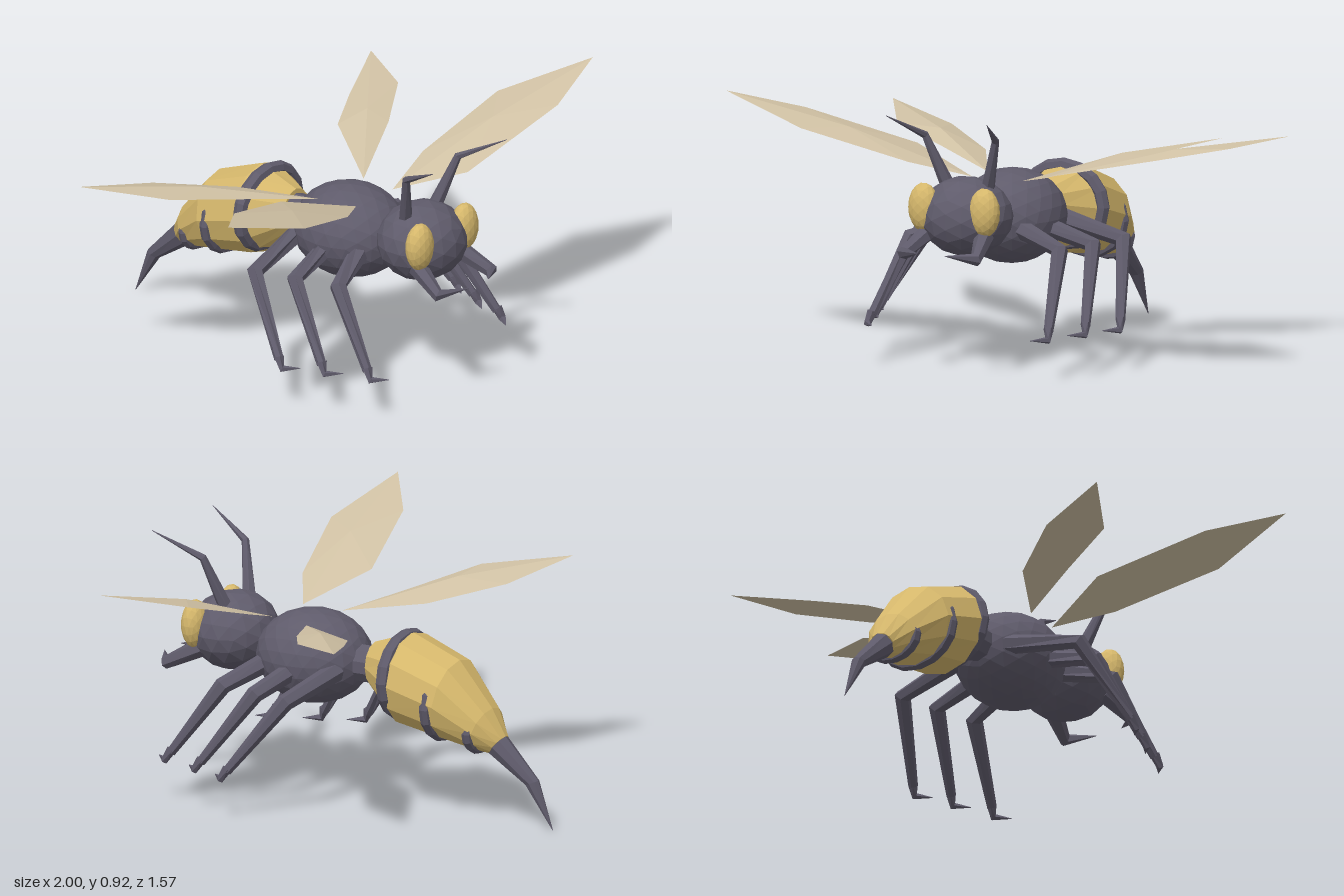
import * as THREE from 'three';

const V = (x, y, z) => new THREE.Vector3(x, y, z);

export function createModel() {
  const model = new THREE.Group();
  model.name = 'wasp';

  const material = (name, color) => {
    const m = new THREE.MeshStandardMaterial({ color, flatShading: true });
    m.name = name;
    return m;
  };
  const dark = material('dark slate', 0x5f5b6b);
  const gold = material('gold', 0xd6b86c);
  const wingTan = material('wing tan', 0xd0c1a4);
  wingTan.side = THREE.DoubleSide;

  const add = (name, geometry, mat, parent = model) => {
    const mesh = new THREE.Mesh(geometry, mat);
    mesh.name = name;
    parent.add(mesh);
    return mesh;
  };

  const fromTriangles = (points) => {
    const g = new THREE.BufferGeometry().setFromPoints(points);
    g.computeVertexNormals();
    return g;
  };

  // Closed skin over rings given as centre c and half axes u, v (u x v points along the run)
  const loft = (sections, sides) => {
    const rings = sections.map(({ c, u, v }) => Array.from({ length: sides }, (_, j) => {
      const a = (j / sides) * Math.PI * 2;
      return c.clone().addScaledVector(u, Math.cos(a)).addScaledVector(v, Math.sin(a));
    }));
    const tris = [];
    const last = rings.length - 1;
    for (let j = 0; j < sides; j++) {
      const k = (j + 1) % sides;
      for (let i = 0; i < last; i++) {
        const [A, B, C, D] = [rings[i][j], rings[i][k], rings[i + 1][j], rings[i + 1][k]];
        tris.push(A, B, C, B, D, C);
      }
      tris.push(sections[0].c, rings[0][k], rings[0][j]);
      tris.push(sections[last].c, rings[last][j], rings[last][k]);
    }
    return fromTriangles(tris);
  };

  // Tapered jointed limb through a few points
  const limb = (points, radii, sides = 6) => loft(points.map((c, i) => {
    const d = points[Math.min(i + 1, points.length - 1)].clone()
      .sub(points[Math.max(i - 1, 0)]).normalize();
    const u = V(0.31, 0.9, 0.2).cross(d).normalize();
    const v = d.clone().cross(u);
    return { c, u: u.multiplyScalar(radii[i]), v: v.multiplyScalar(radii[i]) };
  }), sides);

  // Rings set by top (z, y), bottom (z, y) and half width
  const tilted = (rows, sides) => loft(rows.map(([tz, ty, bz, by, w]) => ({
    c: V(0, (ty + by) / 2, (tz + bz) / 2),
    u: V(-w, 0, 0),
    v: V(0, (ty - by) / 2, (tz - bz) / 2),
  })), sides);

  const ball = (name, mat, detail, pos, size, parent) => {
    const mesh = add(name, new THREE.IcosahedronGeometry(1, detail), mat, parent);
    mesh.position.set(...pos);
    mesh.scale.set(...size);
  };

  // Body
  ball('head', dark, 2, [0, 0.55, 0.53], [0.168, 0.142, 0.158]);
  ball('thorax', dark, 3, [0, 0.503, 0.2], [0.19, 0.169, 0.214]);
  const waist = add('waist', new THREE.CylinderGeometry(0.068, 0.068, 0.12, 10), dark);
  waist.rotation.x = Math.PI / 2;
  waist.position.set(0, 0.5, -0.02);

  add('abdomen', tilted([
    [-0.05, 0.585, -0.05, 0.425, 0.07],
    [-0.21, 0.64, -0.185, 0.31, 0.168],
    [-0.4, 0.567, -0.355, 0.28, 0.155],
    [-0.535, 0.41, -0.48, 0.257, 0.1],
    [-0.59, 0.315, -0.535, 0.247, 0.047],
  ], 12), gold);
  add('stinger', tilted([
    [-0.585, 0.32, -0.53, 0.245, 0.045],
    [-0.726, 0.172, -0.675, 0.152, 0.024],
    [-0.786, 0.001, -0.784, 0, 0.001],
  ], 8), dark);

  // Dark bands round the abdomen: z, centre y, half width, half height, tube radius
  [
    [-0.178, 0.485, 0.156, 0.14, 0.025],
    [-0.345, 0.41, 0.145, 0.122, 0.021],
    [-0.487, 0.33, 0.092, 0.07, 0.02],
  ].forEach(([z, y, rx, ry, tube]) => {
    const g = new THREE.TorusGeometry(1, tube, 7, 16);
    const p = g.attributes.position;
    for (let i = 0; i < p.count; i++) {
      const a = Math.atan2(p.getY(i), p.getX(i));
      const out = Math.hypot(p.getX(i), p.getY(i)) - 1;
      p.setXY(i, Math.cos(a) * (rx + out), Math.sin(a) * (ry + out));
    }
    g.computeVertexNormals();
    add('abdomenBand', g, dark).position.set(0, y, z);
  });

  // Thin folded wing: outline runs base, front edge, tip, rear edge
  const wing = (outline) => {
    const [base, , , tip] = outline;
    const ridge = base.clone().lerp(tip, 0.5);
    const top = ridge.clone().add(V(0, 0.025, 0));
    const tris = [];
    outline.forEach((p, i) => {
      const q = outline[(i + 1) % outline.length];
      tris.push(p, q, top, q, p, ridge);
    });
    return fromTriangles(tris);
  };
  const outlineOn = (s, slope, y0, pts) => pts.map(([x, z]) => V(s * x, y0 + slope * x, z));

  // Left and right wings have differently shaped edges
  const foreWings = {
    left: [[0.1, 0.31], [0.32, 0.265], [0.705, 0.285], [1, 0.475], [0.73, 0.54], [0.29, 0.495]],
    right: [[0.1, 0.31], [0.38, 0.2], [0.77, 0.31], [1, 0.475], [0.66, 0.54], [0.29, 0.43]],
  };
  const hindWings = {
    left: [[0.12, 0.16], [0.36, -0.16], [0.53, -0.25], [0.8, -0.375], [0.68, -0.15], [0.46, -0.01]],
    right: [[0.12, 0.16], [0.27, -0.095], [0.51, -0.28], [0.8, -0.375], [0.63, -0.1], [0.385, 0.02]],
  };

  for (const [side, s] of [['left', 1], ['right', -1]]) {
    const group = new THREE.Group();
    group.name = side + 'Side';
    model.add(group);

    add('foreWing', wing(outlineOn(s, 0.285, 0.62, foreWings[side])), wingTan, group);
    add('hindWing', wing(outlineOn(s, 0.18, 0.62, hindWings[side])), wingTan, group);

    ball('eye', gold, 2, [s * 0.122, 0.585, 0.62], [0.058, 0.088, 0.046], group);

    add('antenna', limb(
      [V(s * 0.08, 0.65, 0.52), V(s * 0.142, 0.835, 0.575), V(s * 0.203, 0.924, 0.748)],
      [0.026, 0.014, 0.001]), dark, group);

    add('mandible', limb(
      [V(s * 0.11, 0.5, 0.6), V(s * 0.145, 0.435, 0.725), V(s * 0.055, 0.45, 0.787)],
      [0.035, 0.024, 0.001]), dark, group);

    // Legs front to back: hip z, knee x and z, ankle x and z
    [
      [0.33, 0.3, 0.395, 0.355, 0.575],
      [0.2, 0.345, 0.235, 0.415, 0.415],
      [0.05, 0.385, 0.085, 0.475, 0.27],
    ].forEach(([hz, kx, kz, ax, az]) => {
      add('leg', limb(
        [V(s * 0.1, 0.485, hz), V(s * kx, 0.43, kz), V(s * ax, 0.175, az)],
        [0.036, 0.031, 0.017]), dark, group);
      add('foot', limb(
        [V(s * ax, 0.185, az), V(s * (ax + 0.008), 0.146, az + 0.02), V(s * (ax - 0.035), 0.148, az + 0.07)],
        [0.019, 0.014, 0.001], 5), dark, group);
    });
  }

  return model;
}
